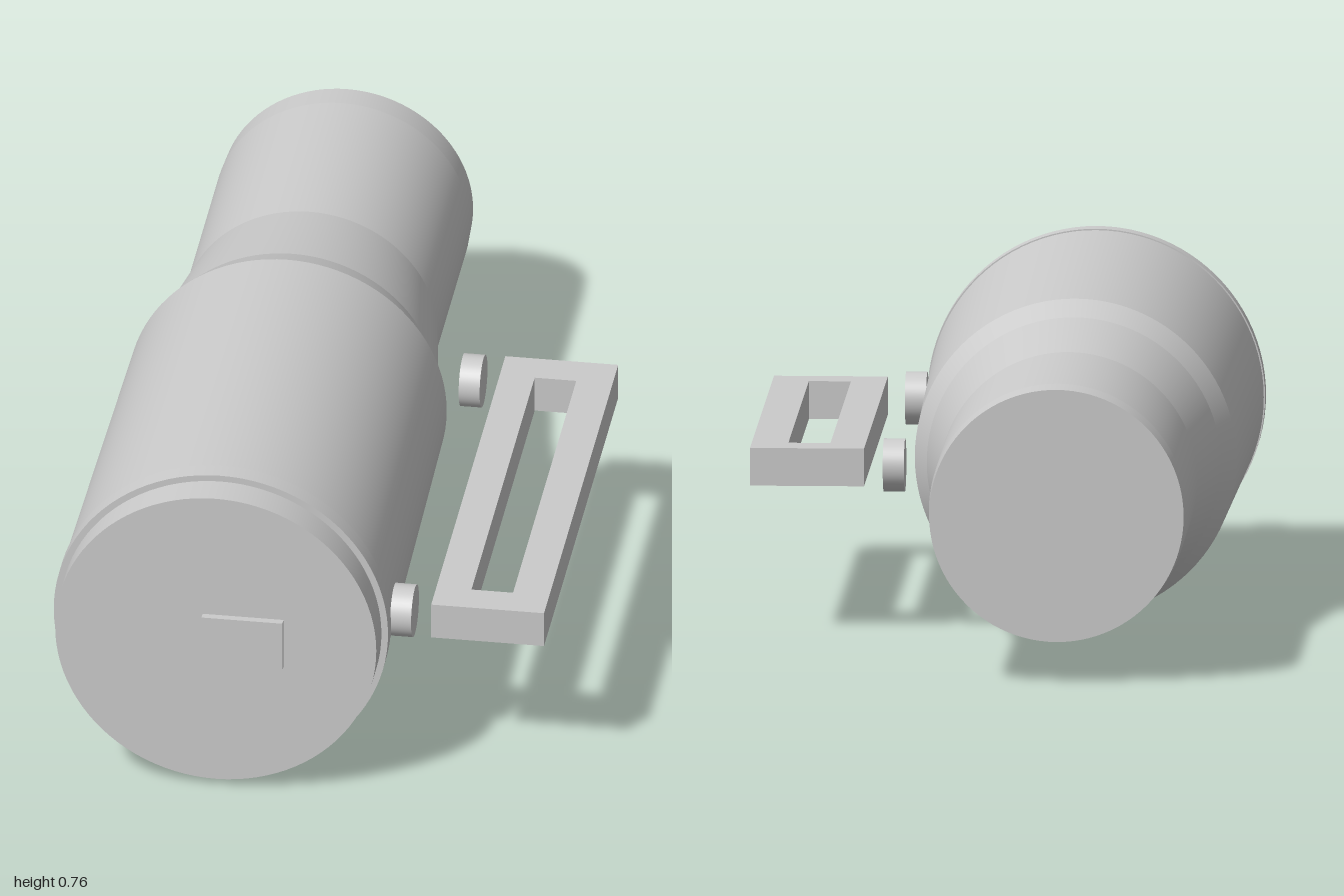
import * as THREE from 'three';
import { mergeGeometries } from 'three/addons/utils/BufferGeometryUtils.js';

const AXIS_X = -0.175, AXIS_Y = 0.384;
const material = new THREE.MeshStandardMaterial({ color: 0xcccccc });

function addPart(group, name, geometry, x, y, z) {
  const mesh = new THREE.Mesh(geometry, material);
  mesh.name = name;
  mesh.position.set(x, y, z);
  group.add(mesh);
  return mesh;
}

// Turned shape along z from [radius, z] points, with a sharp edge at every point
function turned(profile) {
  const bands = [];
  for (let i = 0; i < profile.length - 1; i++) {
    const pair = [profile[i], profile[i + 1]].map(([r, z]) => new THREE.Vector2(r, z));
    bands.push(new THREE.LatheGeometry(pair, 96));
  }
  return mergeGeometries(bands).rotateX(Math.PI / 2);
}

export function createModel() {
  const model = new THREE.Group();
  model.name = 'barrelWithHandle';

  // Barrel: narrow rear, flared shoulder, slightly tapered main tube
  addPart(model, 'barrel', turned([
    [0, -1], [0.288, -1], [0.292, -0.93], [0.292, -0.44],
    [0.333, -0.18], [0.364, -0.1], [0.379, 0.86], [0, 0.86],
  ]), AXIS_X, AXIS_Y, 0);

  // Collar and front cap
  addPart(model, 'collar', turned([
    [0, 0.86], [0.382, 0.86], [0.382, 0.905], [0, 0.905],
  ]), AXIS_X, AXIS_Y, 0);
  addPart(model, 'frontCap', turned([
    [0, 0.905], [0.367, 0.905], [0.367, 0.983], [0, 0.983],
  ]), AXIS_X, AXIS_Y, 0);

  // Small raised plate on the cap
  addPart(model, 'frontPlate', new THREE.BoxGeometry(0.185, 0.122, 0.025), -0.1125, 0.386, 0.9875);

  // Mounting studs on the left side
  for (const [name, z] of [['frontStud', 0.795], ['rearStud', -0.24]]) {
    const stud = new THREE.CylinderGeometry(0.06, 0.06, 0.048, 48).rotateZ(Math.PI / 2);
    addPart(model, name, stud, 0.228, 0.386, z);
  }

  // Rectangular handle frame, drawn flat and laid into the xz plane
  const rect = (path, x0, x1, z0, z1) => path
    .moveTo(x0, -z1).lineTo(x1, -z1).lineTo(x1, -z0).lineTo(x0, -z0).closePath();
  const outline = new THREE.Shape();
  rect(outline, 0.295, 0.553, -0.285, 0.835);
  const opening = new THREE.Path();
  rect(opening, 0.375, 0.47, -0.2, 0.755);
  outline.holes.push(opening);
  const frame = new THREE.ExtrudeGeometry(outline, { depth: 0.086, bevelEnabled: false });
  addPart(model, 'handle', frame.rotateX(-Math.PI / 2), 0, 0.343, 0);

  return model;
}
